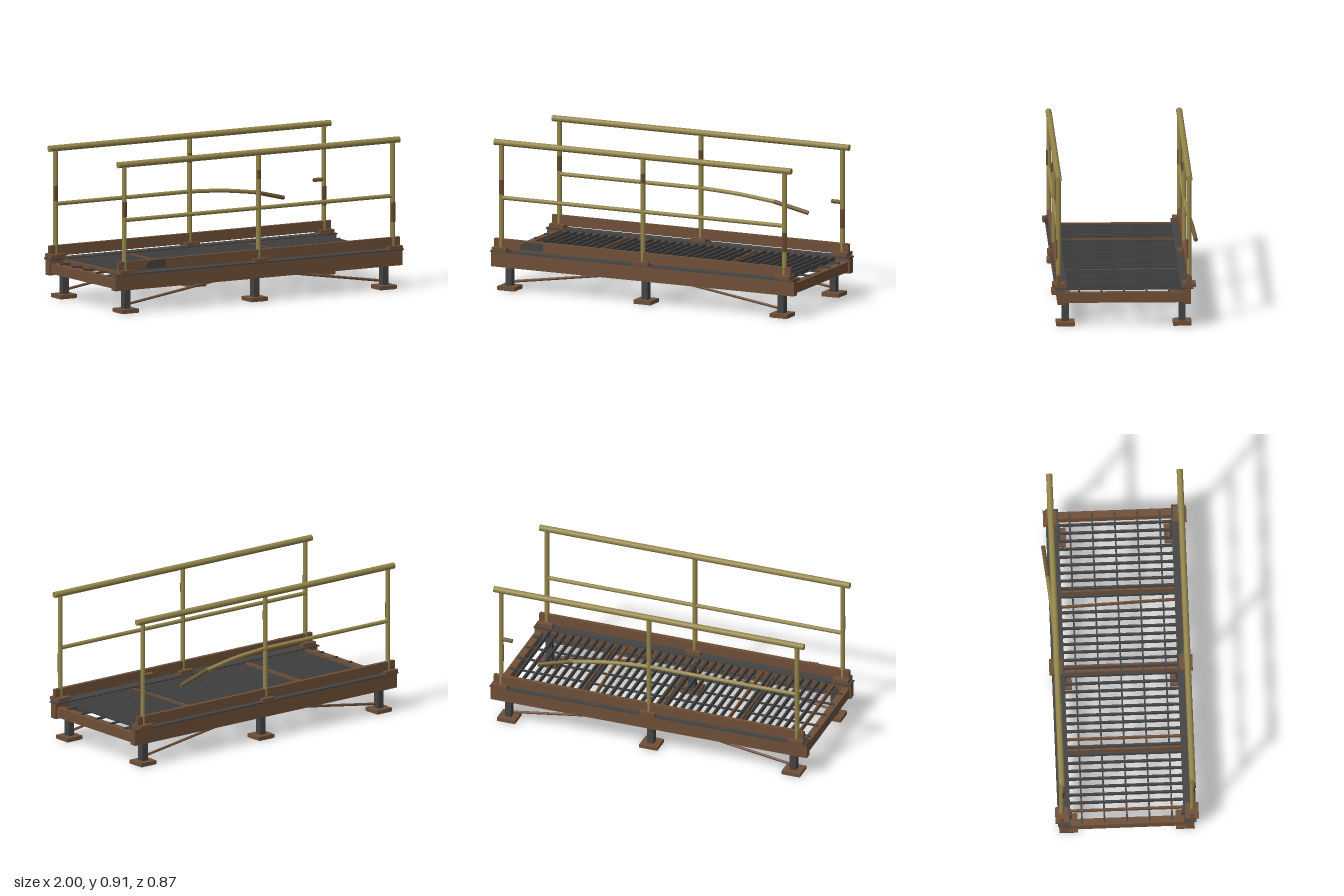
import * as THREE from 'three';

const mat = (name, color, side = THREE.FrontSide) => {
  const m = new THREE.MeshStandardMaterial({ color, side });
  m.name = name;
  return m;
};

export function createModel() {
  const rust = mat('rusty brown', 0x6e4f37);
  const steel = mat('dark steel', 0x434344);
  const yellow = mat('faded yellow', 0x94854a);
  const patchRust = mat('rust patch', 0x644630, THREE.DoubleSide);
  const worn = mat('worn yellow', 0x705a35);

  const root = new THREE.Group();
  root.name = 'walkway';
  const body = new THREE.Group();
  body.name = 'platform';
  body.position.z = 0.01;
  root.add(body);

  const add = (name, geo, m, x = 0, y = 0, z = 0) => {
    const mesh = new THREE.Mesh(geo, m);
    mesh.name = name;
    mesh.position.set(x, y, z);
    body.add(mesh);
    return mesh;
  };
  // Box given by its centre x and z and its bottom and top heights
  const box = (name, m, x, z, w, d, y0, y1) =>
    add(name, new THREE.BoxGeometry(w, y1 - y0, d), m, x, (y0 + y1) / 2, z);
  // Round bar between two points
  const bar = (name, m, a, b, r, sides = 14) => {
    const p = new THREE.Vector3(...a), q = new THREE.Vector3(...b);
    const dir = q.clone().sub(p);
    const mesh = add(name, new THREE.CylinderGeometry(r, r, dir.length(), sides), m);
    mesh.position.copy(p).add(q).multiplyScalar(0.5);
    mesh.quaternion.setFromUnitVectors(new THREE.Vector3(0, 1, 0), dir.normalize());
    return mesh;
  };

  const postZ = 0.387, legZ = 0.346, railY = 0.893, midY = 0.56;
  const patches = [[-0.935, 0.58, 0.67], [0, 0.735, 0.79], [0.935, 0.405, 0.52]];

  for (const s of [1, -1]) {
    // Long beams with their top flange and toe board
    box('sideBeam', rust, 0, s * 0.3725, 2, 0.045, 0.14, 0.234);
    box('beamFlange', steel, 0, s * 0.3725, 2, 0.075, 0.231, 0.239);
    box('toeBoard', rust, 0, s * postZ, 1.96, 0.024, 0.25, 0.312);

    // Posts with base plates and rust patches
    for (const [x, y0, y1] of patches) {
      box('postBase', rust, x, s * 0.385, 0.096, 0.08, 0.239, 0.262);
      bar('post', yellow, [x, 0.262, s * postZ], [x, railY, s * postZ], 0.0142);
      const shell = new THREE.CylinderGeometry(0.0158, 0.0158, y1 - y0, 10, 1, true, -1.2, 2.4);
      add('postRust', shell, patchRust, x, (y0 + y1) / 2, s * postZ);
    }
    bar('topRail', yellow, [-0.98, railY, s * postZ], [0.98, railY, s * postZ], 0.0185, 18);

    // Legs and foot plates
    for (const x of [-0.9, 0, 0.9]) {
      box('leg', steel, x, s * legZ, 0.04, 0.042, 0.02, 0.2);
      box('foot', rust, x, s * legZ, 0.115, 0.11, 0.003, 0.025);
      box('footEdge', rust, x, s * legZ, 0.107, 0.102, 0, 0.004);
    }
    // Sloping braces
    for (const e of [1, -1]) {
      bar('brace', rust, [e * 0.87, 0.052, s * legZ], [e * 0.25, 0.145, s * legZ], 0.008, 8);
    }
  }

  // Middle rails: the front is whole, the back is broken and bent
  bar('midRailFront', yellow, [-0.935, midY, postZ], [0.935, midY, postZ], 0.012);
  bar('midRailBack', yellow, [-0.935, midY, -postZ], [0, midY, -postZ], 0.012);
  bar('midRailStub', worn, [0.865, midY, -postZ], [0.935, midY, -postZ], 0.012);
  const bend = new THREE.CatmullRomCurve3([
    new THREE.Vector3(0, midY, -postZ),
    new THREE.Vector3(0.24, 0.545, -0.397),
    new THREE.Vector3(0.48, 0.514, -0.416),
  ]);
  add('bentRail', new THREE.TubeGeometry(bend, 10, 0.012, 12), yellow);
  bar('bentRailEnd', worn, [0.47, 0.516, -0.415], [0.685, 0.463, -0.434], 0.0125);

  // Cross beams under the grating
  for (const x of [-0.968, 0.968]) box('endBeam', rust, x, 0, 0.044, 0.7, 0.15, 0.21);
  for (const x of [-0.5, 0, 0.5]) box('crossBeam', rust, x, 0, x ? 0.034 : 0.048, 0.7, 0.15, 0.21);

  // Grating bars, a few rusted and one knocked askew
  for (let i = 0; i <= 36; i++) {
    const x = -0.9 + i * 0.05;
    const rusted = [0, 9, 26].includes(i);
    const b = box('gratingBar', rusted ? rust : steel, x, 0, 0.011, 0.69, 0.209, 0.235);
    if (i === 26) {
      b.rotation.y = 0.036;
      b.position.y -= 0.006;
    }
  }
  for (let i = -2; i <= 2; i++) {
    box('gratingRod', steel, 0, i * 0.1335, 1.95, 0.01, 0.21, 0.221);
  }

  // Torn plate on the front toe board
  const plate = new THREE.Shape([
    [-0.075, -0.024], [0.07, -0.024], [0.07, 0.024], [-0.045, 0.024], [-0.075, 0.004],
  ].map(([x, y]) => new THREE.Vector2(x, y)));
  const torn = add('tornPlate',
    new THREE.ExtrudeGeometry(plate, { depth: 0.007, bevelEnabled: false }),
    steel, -0.724, 0.285, 0.401);
  torn.rotation.y = 0.1;

  return root;
}
